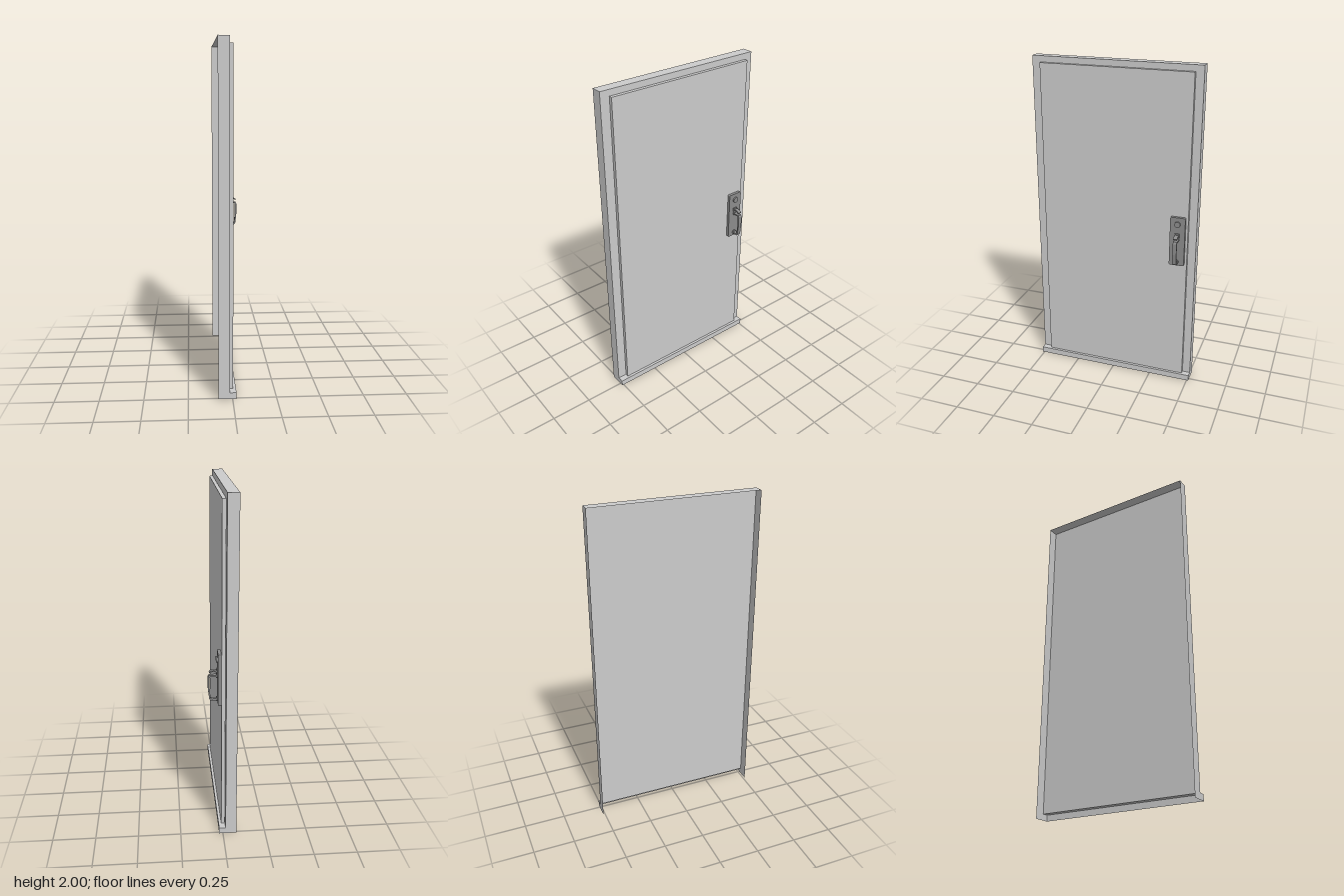
import * as THREE from 'three';

const HALF = 0.511;      // half width of the frame along z
const BACK = -0.08, FACE = -0.016, SILL = 0.022, SILL_TOP = 0.037;
const DOOR_FRONT = 0.006, LOCK_Z = -0.403;

const grey = new THREE.MeshStandardMaterial({ color: 0xcccccc, side: THREE.DoubleSide });
const metal = new THREE.MeshStandardMaterial({ color: 0x8c8c8c });

function add(parent, name, geometry, material, x = 0, y = 0, z = 0) {
  const mesh = new THREE.Mesh(geometry, material);
  mesh.name = name;
  mesh.position.set(x, y, z);
  parent.add(mesh);
  return mesh;
}

const polygon = (points) => new THREE.Shape(points.map(([x, y]) => new THREE.Vector2(x, y)));

// Side profile in x/y, given a width along z and centred on it
function slab(shape, width) {
  return new THREE.ExtrudeGeometry(shape, { depth: width, bevelEnabled: false, curveSegments: 8 })
    .translate(0, 0, -width / 2);
}

// Cylinder pointing out of the door along +x
function stud(radius, length, sides = 24) {
  return new THREE.CylinderGeometry(radius, radius, length, sides).rotateZ(-Math.PI / 2);
}

function createFrame() {
  const frame = new THREE.Group();
  frame.name = 'doorFrame';
  const upright = (h) => new THREE.PlaneGeometry(2 * HALF, h).rotateY(Math.PI / 2);
  const level = (w) => new THREE.PlaneGeometry(w, 2 * HALF).rotateX(-Math.PI / 2);

  // Open-backed shell: face, top and threshold
  add(frame, 'frameFace', upright(2 - SILL_TOP), grey, FACE, (2 + SILL_TOP) / 2);
  add(frame, 'frameTop', level(FACE - BACK), grey, (FACE + BACK) / 2, 2);
  add(frame, 'thresholdTop', level(SILL - FACE), grey, (SILL + FACE) / 2, SILL_TOP);
  add(frame, 'thresholdFront', upright(SILL_TOP), grey, SILL, SILL_TOP / 2);

  // L-shaped end walls
  const end = polygon([[BACK, 0], [SILL, 0], [SILL, SILL_TOP], [FACE, SILL_TOP], [FACE, 2], [BACK, 2]]);
  add(frame, 'leftJamb', new THREE.ShapeGeometry(end), grey, 0, 0, HALF);
  add(frame, 'rightJamb', new THREE.ShapeGeometry(end).scale(-1, 1, 1).rotateY(Math.PI), grey, 0, 0, -HALF);
  return frame;
}

function createHandle() {
  const handle = new THREE.Group();
  handle.name = 'handleSet';
  handle.position.z = LOCK_Z;

  // Backplate with rounded corners, drawn in z/y and extruded along x
  const w = 0.046, y0 = 0.808, y1 = 1.116, r = 0.01;
  const plate = new THREE.Shape();
  plate.moveTo(-w + r, y0);
  plate.lineTo(w - r, y0);
  plate.quadraticCurveTo(w, y0, w, y0 + r);
  plate.lineTo(w, y1 - r);
  plate.quadraticCurveTo(w, y1, w - r, y1);
  plate.lineTo(-w + r, y1);
  plate.quadraticCurveTo(-w, y1, -w, y1 - r);
  plate.lineTo(-w, y0 + r);
  plate.quadraticCurveTo(-w, y0, -w + r, y0);
  const plateGeometry = new THREE.ExtrudeGeometry(plate, { depth: 0.018, bevelEnabled: false, curveSegments: 6 });
  add(handle, 'backplate', plateGeometry.rotateY(Math.PI / 2), metal, DOOR_FRONT);

  // Key cylinder
  add(handle, 'lockCylinder', stud(0.018, 0.012), metal, 0.027, 1.074);
  add(handle, 'keySlot', new THREE.BoxGeometry(0.003, 0.018, 0.004), metal, 0.033, 1.074);

  // Thumb latch: narrow neck widening to a curved paddle
  const latch = new THREE.Shape();
  latch.moveTo(0.022, 0.997);
  latch.lineTo(0.04, 1.001);
  latch.quadraticCurveTo(0.058, 1.004, 0.072, 0.994);
  latch.lineTo(0.073, 0.999);
  latch.quadraticCurveTo(0.058, 1.012, 0.04, 1.009);
  latch.lineTo(0.022, 1.007);
  add(handle, 'thumbLatch', slab(latch, 0.024), metal);
  add(handle, 'latchBase', new THREE.BoxGeometry(0.008, 0.026, 0.028), metal, 0.027, 1.003);

  // C-shaped pull
  const pull = polygon([
    [0.022, 0.972], [0.066, 0.972], [0.069, 0.966], [0.069, 0.9], [0.064, 0.842], [0.060, 0.838], [0.022, 0.838],
    [0.022, 0.828], [0.064, 0.828], [0.072, 0.838], [0.079, 0.9], [0.079, 0.97], [0.072, 0.981], [0.022, 0.981],
  ]);
  add(handle, 'pull', slab(pull, 0.024), metal);
  for (const y of [0.833, 0.976]) {
    add(handle, 'pullBoss', stud(0.014, 0.008, 16), metal, 0.027, y);
  }
  return handle;
}

export function createModel() {
  const model = new THREE.Group();
  model.name = 'door';
  model.add(createFrame());

  // Door leaf, standing slightly proud of the frame face
  const z0 = -0.463, z1 = 0.456, top = 1.964;
  add(model, 'doorLeaf', new THREE.BoxGeometry(DOOR_FRONT - FACE - 0.001, top - SILL_TOP, z1 - z0), grey,
    (DOOR_FRONT + FACE + 0.001) / 2, (top + SILL_TOP) / 2, (z0 + z1) / 2);

  model.add(createHandle());
  return model;
}
